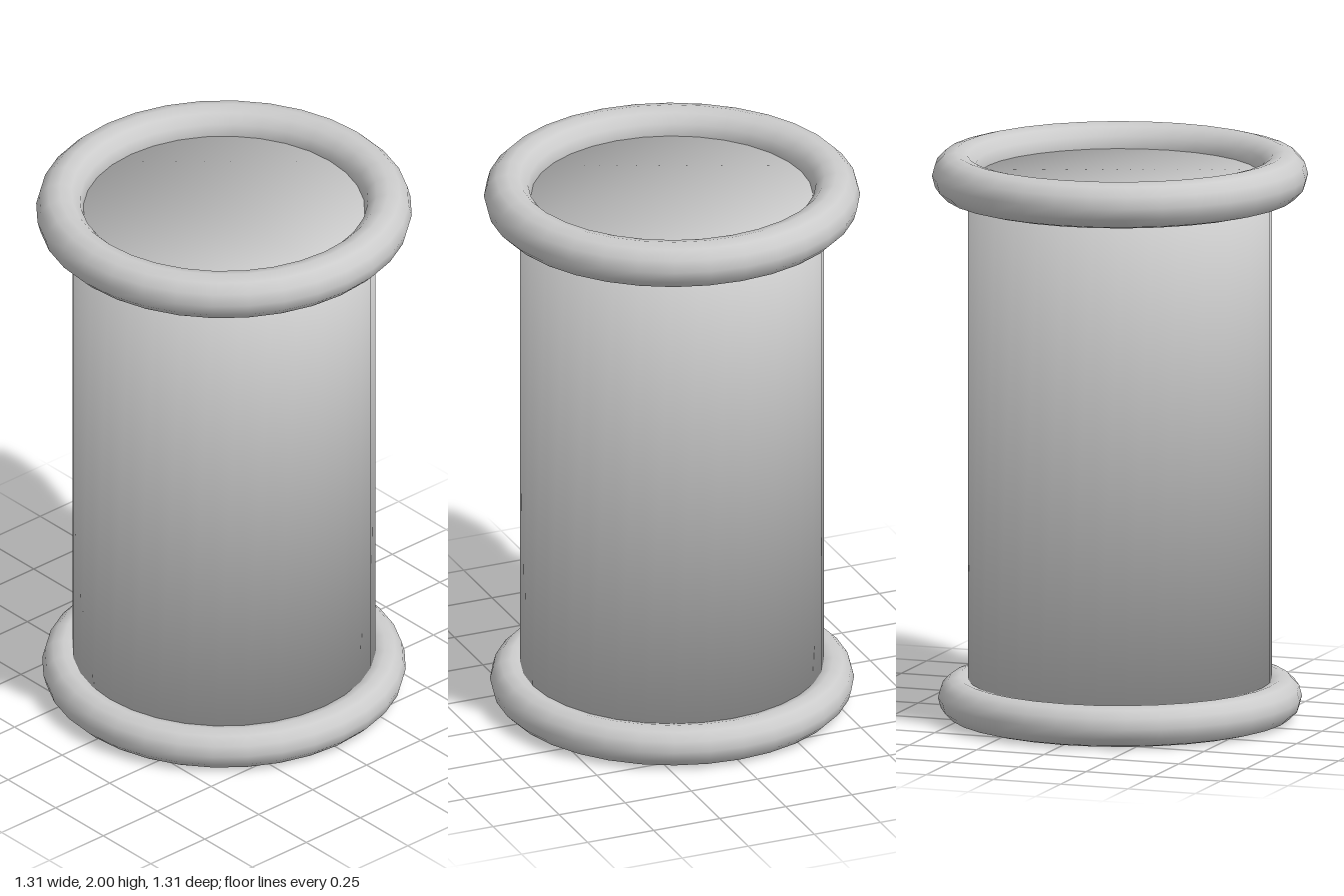
import * as THREE from 'three';

const SIDES = 32;
const material = new THREE.MeshStandardMaterial({ color: 0xcccccc });

// Closed drum whose rim normals are shared by wall and end caps (soft shading over the edge)
function drumGeometry(radius, bottom, top) {
  const positions = [], normals = [], index = [];
  for (const [y, up] of [[top, 1], [bottom, -1]]) {
    for (let i = 0; i < SIDES; i++) {
      const a = (i / SIDES) * Math.PI * 2;
      const x = Math.sin(a), z = Math.cos(a);
      positions.push(x * radius, y, z * radius);
      normals.push(x * Math.SQRT1_2, up * Math.SQRT1_2, z * Math.SQRT1_2);
    }
  }
  for (let i = 0; i < SIDES; i++) {
    const j = (i + 1) % SIDES;
    index.push(SIDES + i, SIDES + j, j, SIDES + i, j, i); // wall
    if (i > 0 && j > 0) {
      index.push(0, i, j); // top cap
      index.push(SIDES, SIDES + j, SIDES + i); // bottom cap
    }
  }
  const geometry = new THREE.BufferGeometry();
  geometry.setAttribute('position', new THREE.Float32BufferAttribute(positions, 3));
  geometry.setAttribute('normal', new THREE.Float32BufferAttribute(normals, 3));
  geometry.setIndex(index);
  return geometry;
}

// Horizontal rounded ring
function ring(name, radius, tube, y) {
  const geometry = new THREE.TorusGeometry(radius, tube, 12, SIDES).rotateX(Math.PI / 2);
  const mesh = new THREE.Mesh(geometry, material);
  mesh.name = name;
  mesh.position.y = y;
  return mesh;
}

export function createModel() {
  const model = new THREE.Group();
  model.name = 'ringedCylinder';

  // Body, its top cap level with the middle of the upper ring
  const body = new THREE.Mesh(drumGeometry(0.528, 0.012, 1.918), material);
  body.name = 'body';

  // The upper ring is slightly larger than the lower one
  model.add(
    body,
    ring('topRing', 0.572, 0.082, 1.918),
    ring('bottomRing', 0.56, 0.073, 0.073)
  );
  return model;
}
